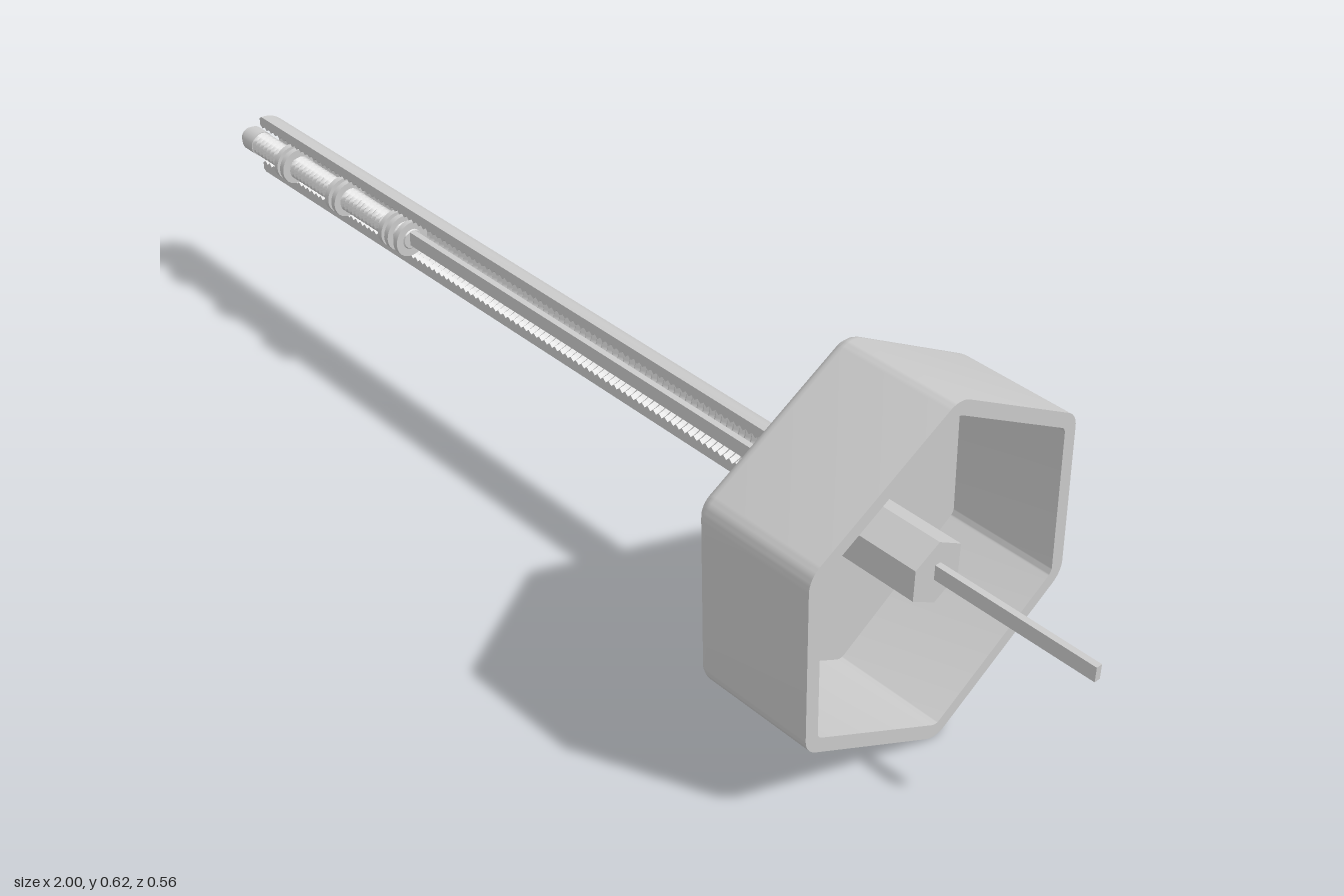
import * as THREE from 'three';
import { toCreasedNormals } from 'three/addons/utils/BufferGeometryUtils.js';

const AXIS_Y = 0.313;
const mat = new THREE.MeshStandardMaterial({ color: 0xcccccc });
const matDouble = new THREE.MeshStandardMaterial({ color: 0xcccccc, side: THREE.DoubleSide });

function add(parent, name, geometry, material = mat) {
  const mesh = new THREE.Mesh(geometry, material);
  mesh.name = name;
  parent.add(mesh);
  return mesh;
}

// Turns a shape made along y into one lying along x at the axis height
const layAlongX = (g) => g.rotateZ(-Math.PI / 2).translate(0, AXIS_Y, 0);

// Slightly uneven hexagon: corner centres as (z, y), counter-clockwise
const CORNERS = [
  [0.002, 0.577], [-0.227, 0.447], [-0.239, 0.193],
  [-0.015, 0.04], [0.228, 0.165], [0.24, 0.437],
];
const CORNER_RADIUS = 0.04;

function hexLoop(x, inset) {
  const r = CORNER_RADIUS - inset;
  const loop = [];
  const n = CORNERS.length;
  const steps = 8;
  for (let i = 0; i < n; i++) {
    const p = CORNERS[(i + n - 1) % n], c = CORNERS[i], q = CORNERS[(i + 1) % n];
    const a0 = Math.atan2(c[1] - p[1], c[0] - p[0]) - Math.PI / 2;
    let a1 = Math.atan2(q[1] - c[1], q[0] - c[0]) - Math.PI / 2;
    while (a1 < a0) a1 += Math.PI * 2;
    for (let k = 0; k <= steps; k++) {
      const a = a0 + ((a1 - a0) * k) / steps;
      loop.push([x, c[1] + r * Math.sin(a), c[0] + r * Math.cos(a)]);
    }
  }
  return loop;
}

// Open cup: back face, rounded back edge, outer wall, rim, inner wall, floor
function cupGeometry() {
  const back = 0.503, rim = 0.723, wall = 0.024, bevel = 0.02;
  const count = hexLoop(0, 0).length;
  const centre = (x) => Array.from({ length: count }, () => [x, AXIS_Y, 0]);
  const loops = [centre(back)];
  for (let k = 0; k <= 5; k++) {
    const a = (k / 5) * Math.PI / 2;
    loops.push(hexLoop(back + bevel * (1 - Math.cos(a)), bevel * (1 - Math.sin(a))));
  }
  loops.push(hexLoop(rim, 0), hexLoop(rim, wall), hexLoop(back + wall, wall), centre(back + wall));

  const index = [];
  for (let i = 0; i < loops.length - 1; i++) {
    for (let j = 0; j < count; j++) {
      const a = i * count + j, b = i * count + ((j + 1) % count);
      const d = a + count, c = b + count;
      if (i < loops.length - 2) index.push(a, d, c);
      if (i > 0) index.push(a, c, b);
    }
  }
  const g = new THREE.BufferGeometry();
  g.setAttribute('position', new THREE.Float32BufferAttribute(loops.flat(2), 3));
  g.setIndex(index);
  return toCreasedNormals(g, 0.6);
}

// Half tube with a flare at the cup and fine ridges inside
function halfTube() {
  const group = new THREE.Group();
  group.name = 'halfTube';
  const start = -0.96, end = 0.506, outer = 0.057, flare = 0.045;
  const pts = [[0.04, start], [outer - 0.004, start], [outer, start + 0.006]];
  for (let k = 0; k <= 8; k++) {
    const a = (k / 8) * Math.PI / 2;
    pts.push([outer + flare * (1 - Math.cos(a)), end - flare + flare * Math.sin(a)]);
  }
  const ridges = 110, pitch = (end - start) / ridges;
  for (let i = 0; i < ridges; i++) {
    const y = end - i * pitch;
    pts.push([0.04, y], [0.034, y - pitch / 2]);
  }
  const profile = pts.map(([r, y]) => new THREE.Vector2(r, y));
  const closed = [...profile, profile[0].clone()];
  const shell = new THREE.LatheGeometry(closed, 28, Math.PI / 2, Math.PI);
  add(group, 'tubeShell', layAlongX(toCreasedNormals(shell, 0.5)), matDouble);
  // Flat cut faces along both edges of the tube
  for (const s of [1, -1]) {
    const shape = new THREE.Shape(profile.map((p) => new THREE.Vector2(s * p.x, p.y)));
    add(group, s > 0 ? 'lowerCutFace' : 'upperCutFace', layAlongX(new THREE.ShapeGeometry(shape)), matDouble);
  }
  return group;
}

// Ridged rod with collars, lying in the outer end of the tube
function ridgedRod() {
  const group = new THREE.Group();
  group.name = 'ridgedRod';
  const start = -0.965, end = -0.505, ridges = 42, pitch = (end - start) / ridges;
  const profile = [new THREE.Vector2(0, start)];
  for (let i = 0; i < ridges; i++) {
    const y = start + i * pitch;
    profile.push(new THREE.Vector2(0.017, y), new THREE.Vector2(0.022, y + pitch / 2));
  }
  profile.push(new THREE.Vector2(0.017, end), new THREE.Vector2(0, end));
  add(group, 'rodThread', layAlongX(toCreasedNormals(new THREE.LatheGeometry(profile, 20), 0.5)));

  for (const x of [-0.868, -0.85, -0.712, -0.693, -0.556, -0.538, -0.512]) {
    const collar = new THREE.CylinderGeometry(0.033, 0.033, 0.01, 24);
    add(group, 'collar', layAlongX(collar.translate(0, x, 0)));
  }
  const tip = new THREE.CylinderGeometry(0.023, 0.023, 0.03, 20);
  add(group, 'rodTip', layAlongX(tip.translate(0, -0.974, 0)));
  const nose = new THREE.CylinderGeometry(0.017, 0.017, 0.012, 20);
  add(group, 'rodNose', layAlongX(nose.translate(0, -0.994, 0)));
  return group;
}

export function createModel() {
  const model = new THREE.Group();
  model.name = 'hexCupWithStem';

  add(model, 'hexCup', cupGeometry());
  model.add(halfTube());
  model.add(ridgedRod());

  // Six-sided post standing on the cup floor, with a low collar at its foot
  const post = new THREE.CylinderGeometry(0.055, 0.055, 0.19, 6).toNonIndexed();
  post.computeVertexNormals();
  post.rotateY(Math.PI / 2).translate(0, 0.615, 0);
  add(model, 'hexPost', layAlongX(post));
  const foot = new THREE.CylinderGeometry(0.057, 0.065, 0.008, 32).translate(0, 0.53, 0);
  add(model, 'postFoot', layAlongX(foot));

  // Flat bar running through the whole length
  add(model, 'flatBar', new THREE.BoxGeometry(1.97, 0.026, 0.011).translate(0.015, 0.316, 0));

  return model;
}
